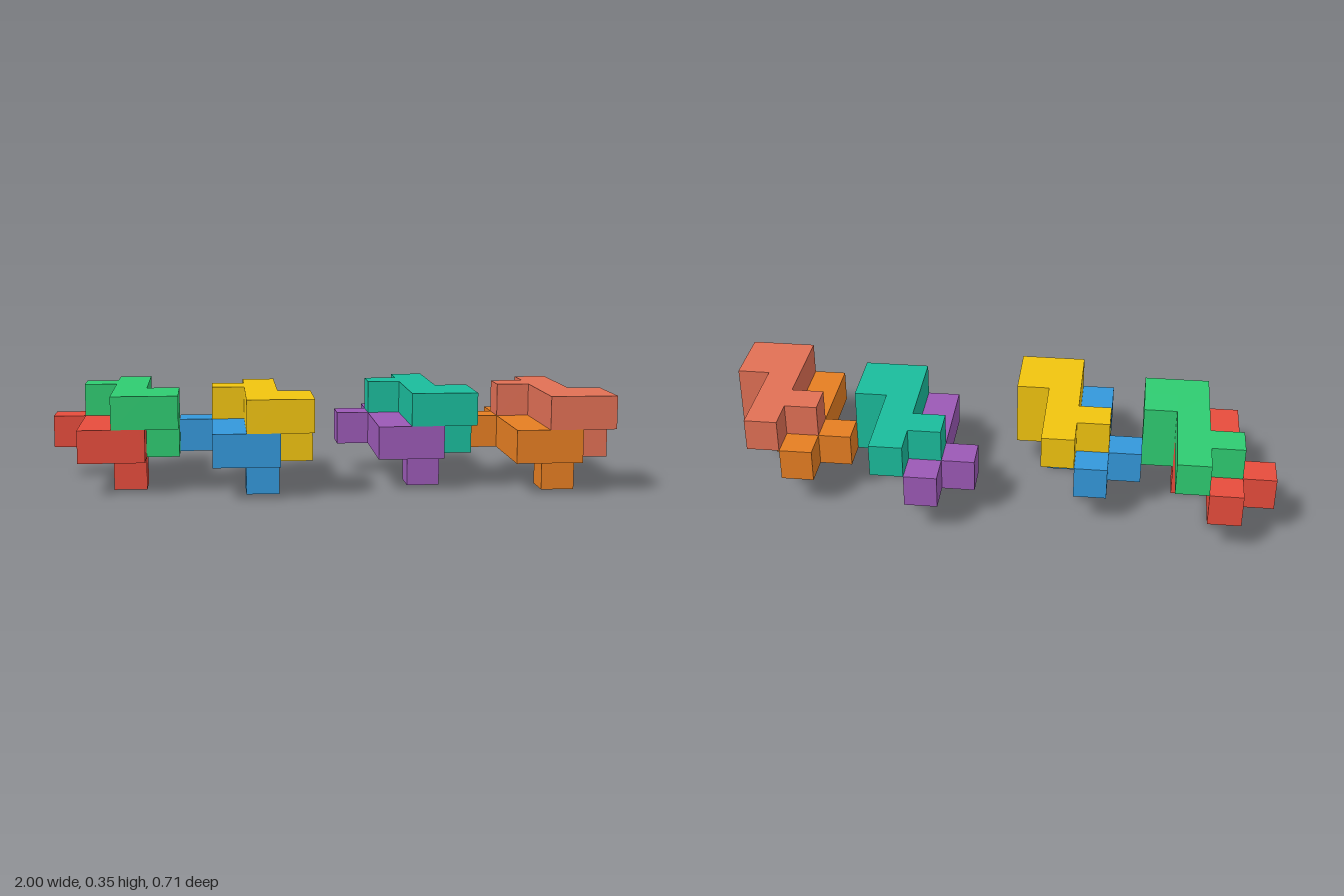
import * as THREE from 'three';
import { mergeGeometries } from 'three/addons/utils/BufferGeometryUtils.js';

const U = 2 / 17; // edge of one unit cube

// One puzzle piece as unit cells [x, y, z]: long bar, side stub, two-cell arm, foot
const CELLS = [
  [1, 1, 0], [1, 1, 1], [1, 1, 2], [1, 1, 3], [1, 1, 4],
  [0, 1, 1],
  [2, 1, 3], [2, 1, 4],
  [2, 0, 3],
];
const SIDES = [[1, 0, 0], [-1, 0, 0], [0, 1, 0], [0, -1, 0], [0, 0, 1], [0, 0, -1]];

// Outer skin of the cells: a square on every face that has no neighbour
function pieceGeometry() {
  const filled = new Set(CELLS.map(c => c.join()));
  const faces = [];
  const forward = new THREE.Vector3(0, 0, 1);
  for (const cell of CELLS) {
    for (const side of SIDES) {
      if (filled.has(cell.map((v, i) => v + side[i]).join())) continue;
      const turn = new THREE.Quaternion().setFromUnitVectors(forward, new THREE.Vector3(...side));
      const centre = cell.map((v, i) => (v + 0.5 + side[i] / 2) * U);
      faces.push(new THREE.PlaneGeometry(U, U).applyQuaternion(turn).translate(...centre));
    }
  }
  return mergeGeometries(faces);
}

// Each pair: grid column, grid row, lower and upper colour
const PAIRS = [
  { name: 'firstPair', x: 0, z: 0, lower: 0xe74c3c, upper: 0x2ecc71 },
  { name: 'secondPair', x: 4, z: 1, lower: 0x3498db, upper: 0xf1c40f },
  { name: 'thirdPair', x: 9, z: 0, lower: 0x9b59b6, upper: 0x1abc9c },
  { name: 'fourthPair', x: 13, z: 1, lower: 0xe67e22, upper: 0xe17055 },
];

export function createModel() {
  const model = new THREE.Group();
  model.name = 'puzzlePieces';
  const geometry = pieceGeometry();

  for (const p of PAIRS) {
    const pair = new THREE.Group();
    pair.name = p.name;
    pair.position.set(-1 + p.x * U, 0, (p.z - 3) * U);
    // The upper piece nests one cell across and one cell up
    [['lowerPiece', p.lower], ['upperPiece', p.upper]].forEach(([name, color], step) => {
      const piece = new THREE.Mesh(geometry, new THREE.MeshStandardMaterial({ color }));
      piece.name = name;
      piece.position.set(step * U, step * U, 0);
      pair.add(piece);
    });
    model.add(pair);
  }
  return model;
}
